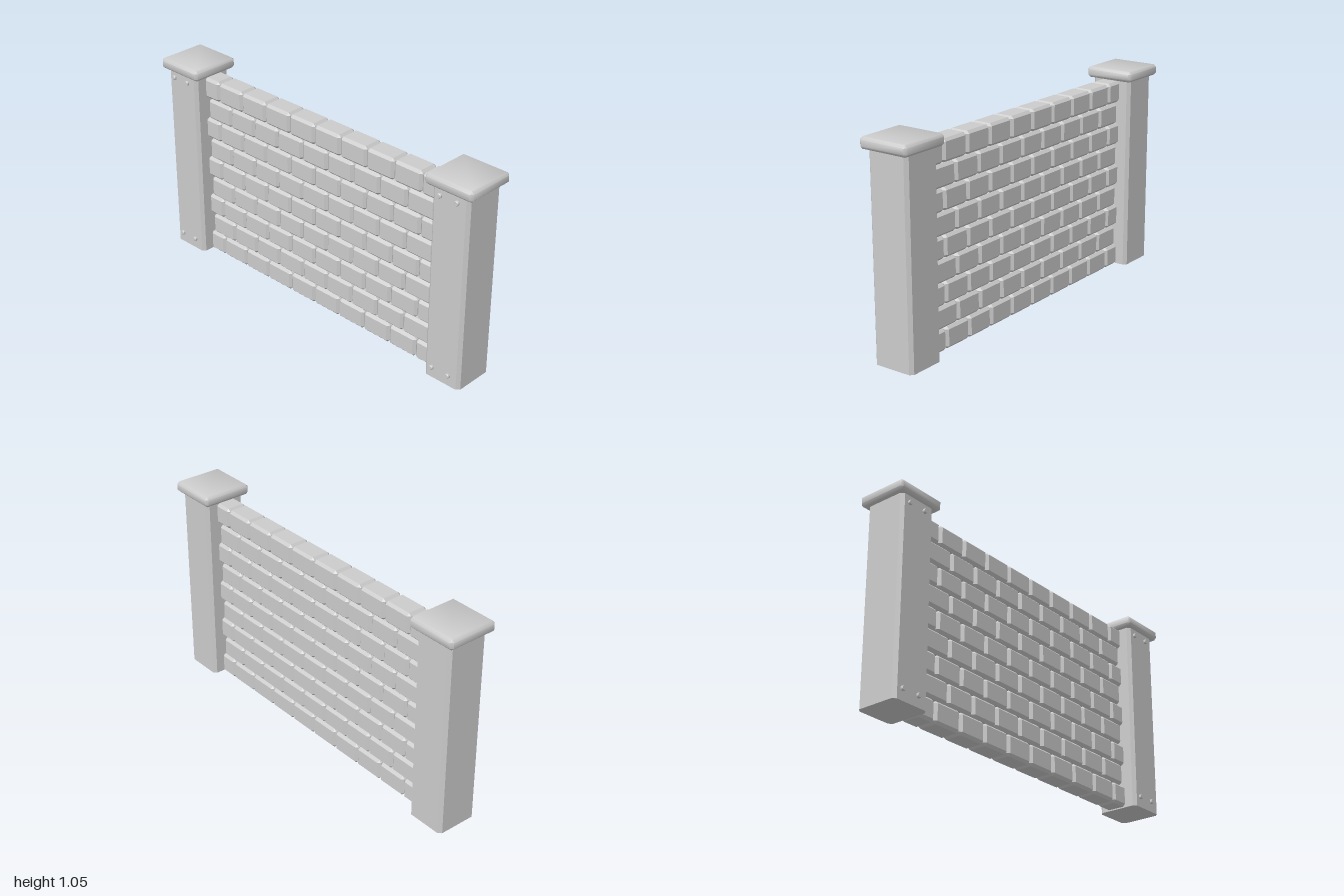
import * as THREE from 'three';
import { ConvexGeometry } from 'three/addons/geometries/ConvexGeometry.js';
import { toCreasedNormals } from 'three/addons/utils/BufferGeometryUtils.js';

const material = new THREE.MeshStandardMaterial({ color: 0xcccccc });

// Box with every edge cut at 45 degrees
function chamferedBox(w, h, d, c) {
  const [x, y, z] = [w / 2, h / 2, d / 2];
  const points = [];
  for (const sx of [-1, 1]) for (const sy of [-1, 1]) for (const sz of [-1, 1]) {
    points.push(
      new THREE.Vector3(sx * x, sy * (y - c), sz * (z - c)),
      new THREE.Vector3(sx * (x - c), sy * y, sz * (z - c)),
      new THREE.Vector3(sx * (x - c), sy * (y - c), sz * z));
  }
  return new ConvexGeometry(points);
}

// Upright column with only its vertical edges cut
function chamferedColumn(w, h, d, c) {
  const points = [];
  for (const sx of [-1, 1]) for (const sz of [-1, 1]) for (const y of [0, h]) {
    points.push(
      new THREE.Vector3(sx * w / 2, y, sz * (d / 2 - c)),
      new THREE.Vector3(sx * (w / 2 - c), y, sz * d / 2));
  }
  return new ConvexGeometry(points);
}

function add(parent, name, geometry, x, y, z) {
  const mesh = new THREE.Mesh(geometry, material);
  mesh.name = name;
  mesh.position.set(x, y, z);
  parent.add(mesh);
  return mesh;
}

export function createModel() {
  const model = new THREE.Group();
  model.name = 'brickFence';

  // Posts with caps and front bolts
  const postGeo = chamferedColumn(0.206, 1.0, 0.22, 0.016);
  const capGeo = toCreasedNormals(chamferedBox(0.264, 0.055, 0.264, 0.013), 0.87);
  const boltGeo = toCreasedNormals(new THREE.LatheGeometry([
    new THREE.Vector2(0.012, -0.004), new THREE.Vector2(0.012, 0.008),
    new THREE.Vector2(0.009, 0.011), new THREE.Vector2(0, 0.011),
  ], 10), 0.7).rotateX(Math.PI / 2);
  for (const [name, x] of [['leftPost', 0.868], ['rightPost', -0.868]]) {
    const post = new THREE.Group();
    post.name = name;
    post.position.x = x;
    add(post, 'postColumn', postGeo, 0, 0, 0);
    add(post, 'postCap', capGeo, 0, 1.0255, 0);
    for (const bx of [-0.056, 0.04]) for (const by of [0.055, 0.962]) {
      add(post, 'bolt', boltGeo, bx, by, 0.11);
    }
    model.add(post);
  }

  // Brick courses in running bond; half bricks close every other course
  const wall = new THREE.Group();
  wall.name = 'brickWall';
  const pitch = 0.165, rowHeight = 0.1107, end = 0.766;
  const depth = 0.112, chamfer = 0.013, gap = 0.002;
  const brickGeo = chamferedBox(pitch - gap, rowHeight - gap, depth, chamfer);
  const halfWidth = end - 4 * pitch;
  const halfGeo = chamferedBox(halfWidth - gap, rowHeight - gap, depth, chamfer);
  for (let row = 0; row < 9; row++) {
    const y = (row + 0.5) * rowHeight;
    const count = row % 2 ? 9 : 8;
    for (let i = 0; i < count; i++) {
      add(wall, 'brick', brickGeo, (i - (count - 1) / 2) * pitch, y, 0);
    }
    if (row % 2 === 0) {
      for (const side of [-1, 1]) {
        add(wall, 'halfBrick', halfGeo, side * (end - halfWidth / 2), y, 0);
      }
    }
  }
  model.add(wall);
  return model;
}
